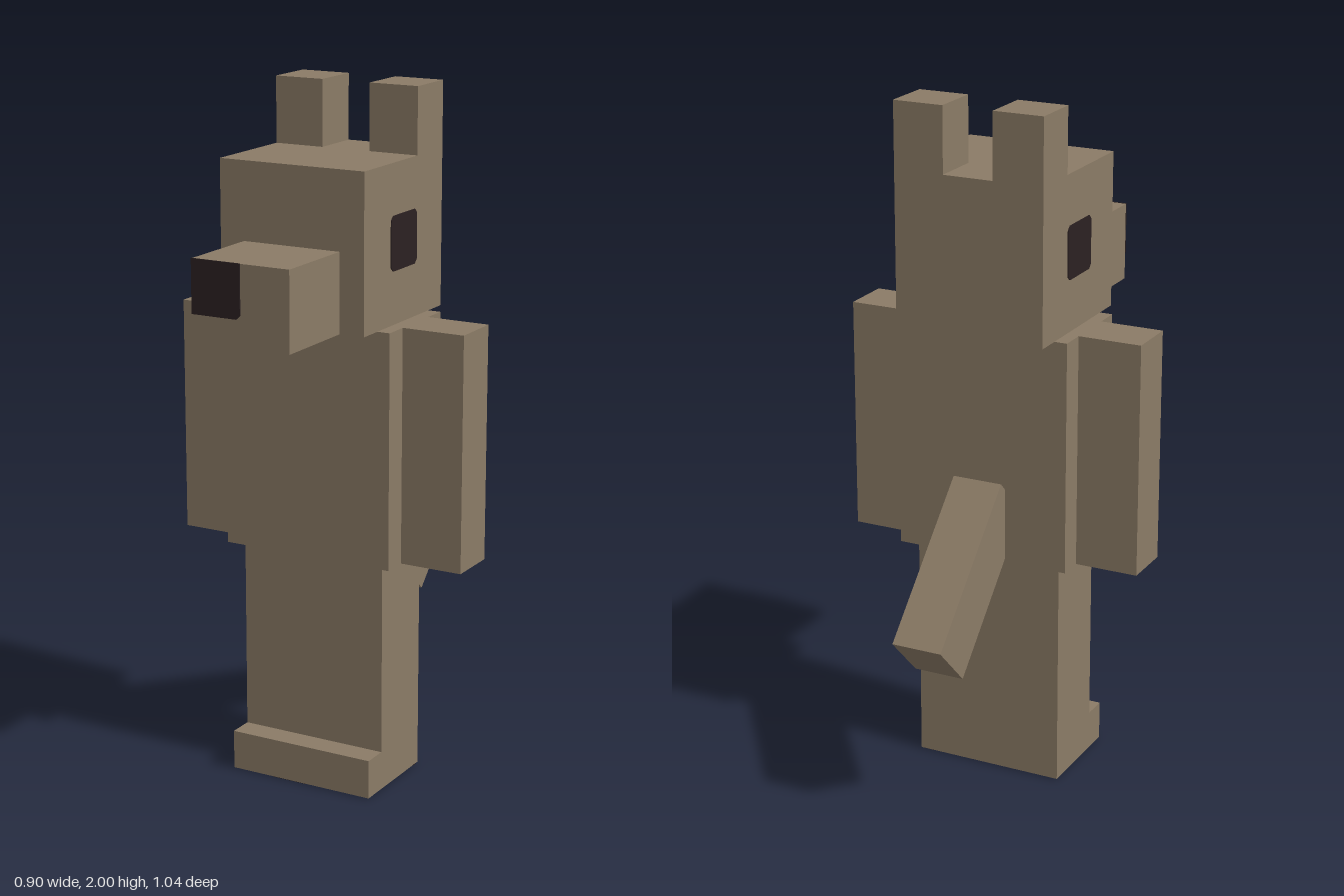
import * as THREE from 'three';

const fur = new THREE.MeshStandardMaterial({ color: 0x8b7b66 });
fur.name = 'brownFur';
const dark = new THREE.MeshStandardMaterial({ color: 0x2b2122 });
dark.name = 'darkMarking';

export function createModel() {
  const model = new THREE.Group();

  // Box given by its limits on each axis
  const box = (name, [x0, x1], [y0, y1], [z0, z1]) => {
    const mesh = new THREE.Mesh(new THREE.BoxGeometry(x1 - x0, y1 - y0, z1 - z0), fur);
    mesh.position.set((x0 + x1) / 2, (y0 + y1) / 2, (z0 + z1) / 2);
    mesh.name = name;
    model.add(mesh);
    return mesh;
  };

  // Thin dark plate facing +z, with clipped corners: [bl, br, tr, tl]
  const plate = (name, w, h, [bl, br, tr, tl]) => {
    const x = w / 2, y = h / 2;
    const shape = new THREE.Shape([
      [-x + bl, -y], [x - br, -y], [x, -y + br], [x, y - tr],
      [x - tr, y], [-x + tl, y], [-x, y - tl], [-x, -y + bl],
    ].map(([a, b]) => new THREE.Vector2(a, b)));
    const geometry = new THREE.ExtrudeGeometry(shape, { depth: 0.003, bevelEnabled: false });
    const mesh = new THREE.Mesh(geometry, dark);
    mesh.name = name;
    model.add(mesh);
    return mesh;
  };

  // Legs and feet
  box('legs', [-0.225, 0.225], [0, 0.68], [-0.08, 0.145]);
  box('feet', [-0.225, 0.225], [0, 0.115], [0.145, 0.22]);

  // Torso, head and snout
  box('torso', [-0.263, 0.263], [0.68, 1.36], [-0.12, 0.18]);
  box('head', [-0.225, 0.225], [1.36, 1.81], [-0.195, 0.256]);
  box('snout', [-0.15, 0.15], [1.36, 1.587], [0.256, 0.521]);

  // Paired arms, ears and eyes
  for (const side of [1, -1]) {
    const label = side > 0 ? 'left' : 'right';
    const span = (a, b) => (side > 0 ? [a, b] : [-b, -a]);
    box(label + 'Arm', span(0.263, 0.45), [0.68, 1.36], [-0.045, 0.105]);
    box(label + 'Ear', span(0.075, 0.225), [1.81, 2], [-0.195, -0.045]);
    const eye = plate(label + 'Eye', 0.148, 0.154, [0.012, 0.012, 0.012, 0.012]);
    eye.rotation.y = side * Math.PI / 2;
    eye.position.set(side * 0.225, 1.588, 0.033);
  }

  // Nose on one half of the snout
  plate('nose', 0.151, 0.152, [0, 0.012, 0, 0]).position.set(-0.0755, 1.512, 0.521);

  // Sloping tail
  const tail = box('tail', [-0.075, 0.075], [0.4135, 0.9365], [-0.357, -0.173]);
  tail.rotation.x = Math.PI / 4;

  // Small dark spots under the feet
  for (const [x, z, w, d] of [[0.2, -0.06, 0.05, 0.035], [-0.03, -0.03, 0.04, 0.03], [-0.04, 0.2, 0.13, 0.036]]) {
    const c = d * 0.3;
    const spot = plate('soleSpot', w, d, [c, c, c, c]);
    spot.rotation.x = Math.PI / 2;
    spot.position.set(x, 0.001, z);
  }

  return model;
}
